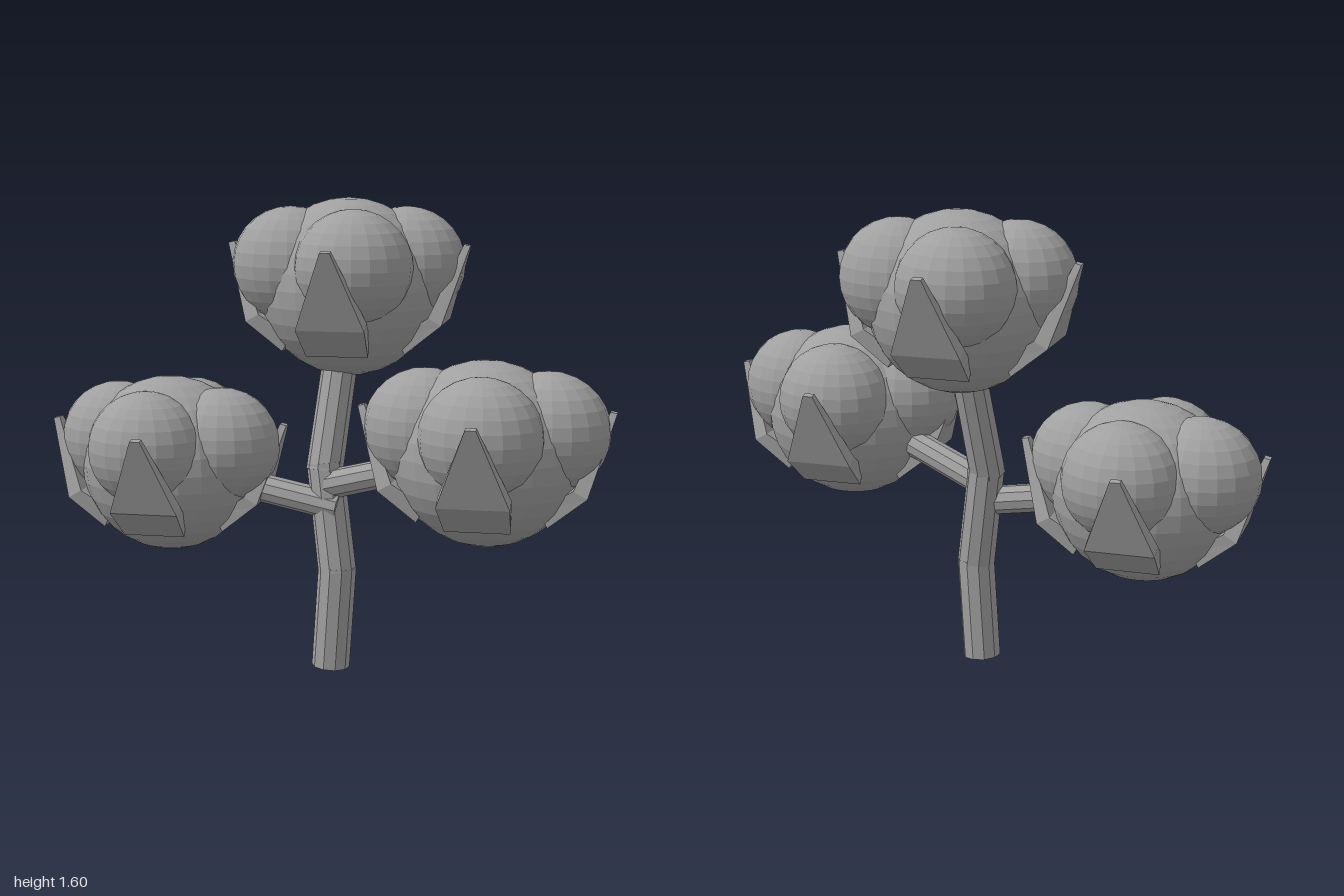
import * as THREE from 'three';

const grey = new THREE.MeshStandardMaterial({ color: 0xa0a0a0, flatShading: true });

function addMesh(parent, name, geometry) {
  const mesh = new THREE.Mesh(geometry, grey);
  mesh.name = name;
  parent.add(mesh);
  return mesh;
}

// Straight piece of stem between two points
function addStem(parent, name, from, to, r0, r1) {
  const a = new THREE.Vector3(...from), b = new THREE.Vector3(...to);
  const dir = b.clone().sub(a);
  const mesh = addMesh(parent, name, new THREE.CylinderGeometry(r1, r0, dir.length(), 10));
  mesh.position.copy(a).add(b).multiplyScalar(0.5);
  mesh.quaternion.setFromUnitVectors(new THREE.Vector3(0, 1, 0), dir.normalize());
}

// Bent, pointed leaf lofted through rectangular sections; it faces +z
function sepalGeometry() {
  // half width, outer z, outer y, inner z, inner y
  const sections = [
    [0.105, 0.21, -0.215, 0.18, -0.16],
    [0.115, 0.335, -0.115, 0.29, -0.09],
    [0.017, 0.417, 0.145, 0.395, 0.15],
  ];
  const pos = [], index = [];
  for (const [w, oz, oy, iz, iy] of sections) {
    pos.push(-w, oy, oz, w, oy, oz, w, iy, iz, -w, iy, iz);
  }
  const quad = (a, b, c, d) => index.push(a, b, c, a, c, d);
  for (let k = 0; k < sections.length - 1; k++) {
    for (let j = 0; j < 4; j++) {
      const n = (j + 1) % 4;
      quad(k * 4 + j, k * 4 + n, k * 4 + 4 + n, k * 4 + 4 + j);
    }
  }
  const t = (sections.length - 1) * 4;
  quad(0, 3, 2, 1);
  quad(t, t + 1, t + 2, t + 3);
  const g = new THREE.BufferGeometry();
  g.setAttribute('position', new THREE.Float32BufferAttribute(pos, 3));
  g.setIndex(index);
  const flat = g.toNonIndexed();
  flat.computeVertexNormals();
  return flat;
}

// Fluffy boll: a core, four lobes turned by the given angle, four sepals
function makeBoll(name, center, turn) {
  const boll = new THREE.Group();
  boll.name = name;
  boll.position.set(...center);
  const sx = 1.03, sz = 0.93;
  const core = addMesh(boll, 'core', new THREE.SphereGeometry(0.302, 24, 16));
  core.scale.set(sx, 1, sz);
  const lobeGeo = new THREE.SphereGeometry(0.196, 20, 14);
  const sepalGeo = sepalGeometry();
  for (let i = 0; i < 4; i++) {
    const a = turn + i * Math.PI / 2;
    const lobe = addMesh(boll, 'lobe', lobeGeo);
    lobe.position.set(Math.sin(a) * 0.195 * sx, 0.077, Math.cos(a) * 0.19 * sz);
    lobe.scale.set(sx, 1, sz);
    lobe.rotation.y = 0;
    const sepal = addMesh(boll, 'sepal', sepalGeo);
    sepal.rotation.y = 0.2 + i * Math.PI / 2;
  }
  return boll;
}

export function createModel() {
  const plant = new THREE.Group();
  plant.name = 'plant';

  // Crooked main stem
  addStem(plant, 'lowerStem', [0, 0.005, 0.033], [0.025, 0.36, 0.033], 0.065, 0.065);
  addStem(plant, 'middleStem', [0.025, 0.34, 0.034], [-0.03, 0.71, 0.01], 0.065, 0.063);
  addStem(plant, 'upperStem', [-0.03, 0.68, 0.015], [-0.012, 1.1, -0.1], 0.063, 0.06);

  // Side branches
  addStem(plant, 'rightBranch', [0.03, 0.565, 0.033], [-0.5, 0.66, 0.08], 0.05, 0.048);
  addStem(plant, 'leftBranch', [-0.02, 0.635, 0.025], [0.5, 0.785, 0.11], 0.05, 0.048);

  // Bolls
  plant.add(makeBoll('topBoll', [0, 1.298, -0.127], 0.42));
  plant.add(makeBoll('rightBoll', [-0.582, 0.683, 0.085], 0));
  plant.add(makeBoll('leftBoll', [0.578, 0.805, 0.118], 0.2));
  return plant;
}
